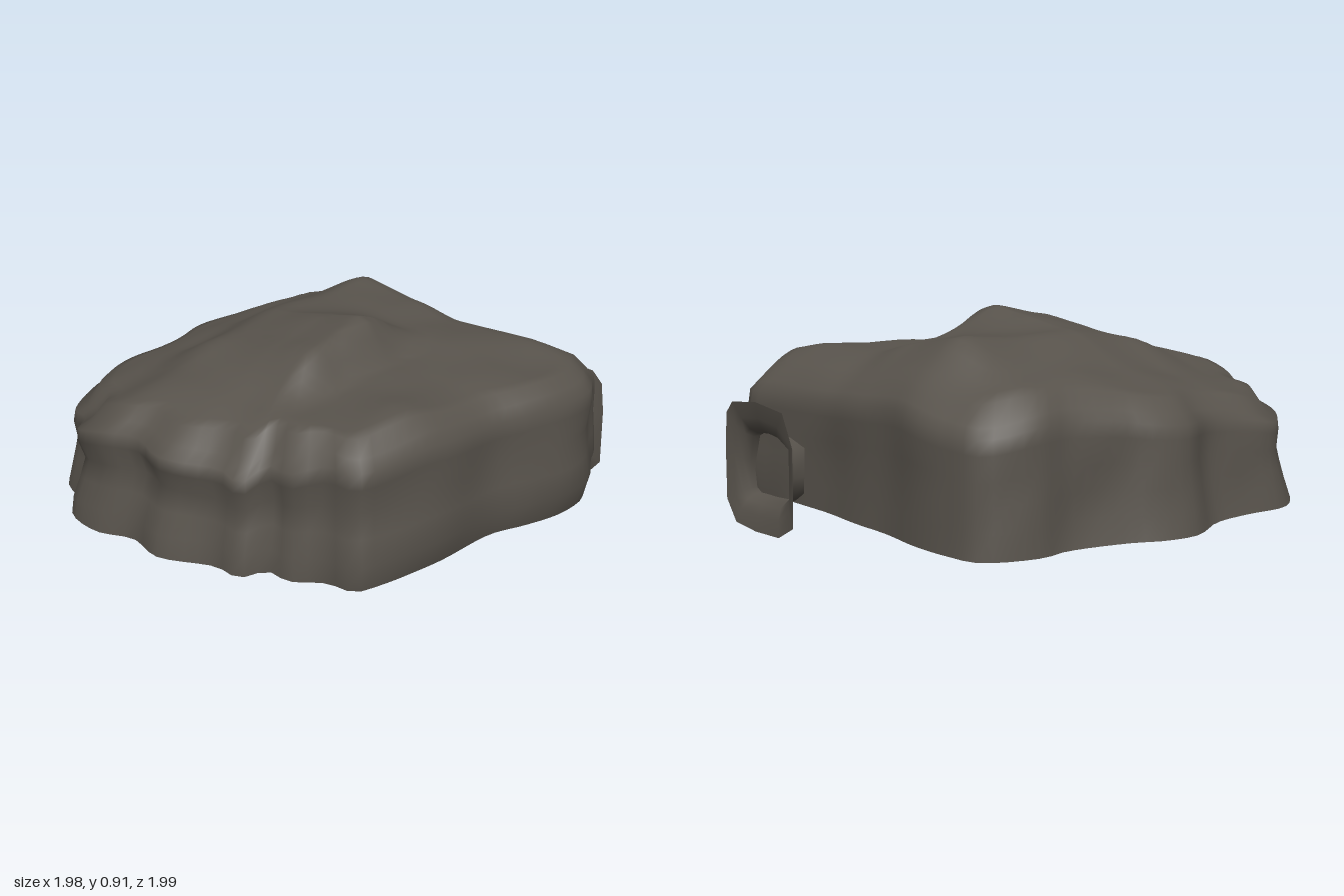
import * as THREE from 'three';

// Outline of the rock seen from above, as [x, z]
const OUTLINE = [
  [0.05, -1], [0.2, -0.96], [0.3, -0.9], [0.55, -0.81], [0.66, -0.81], [0.86, -0.7], [0.89, -0.58],
  [0.9, -0.4], [0.88, -0.2], [0.88, 0], [0.87, 0.2], [0.88, 0.4], [0.89, 0.6], [0.89, 0.8],
  [0.73, 0.89], [0.57, 0.98], [0.46, 0.99], [0.36, 0.98], [0.2, 0.93], [0.05, 0.87], [-0.25, 0.84],
  [-0.4, 0.81], [-0.55, 0.77], [-0.66, 0.72], [-0.68, 0.6], [-0.76, 0.48], [-0.76, 0.37], [-0.86, 0.32],
  [-0.86, 0.2], [-0.96, -0.03], [-0.93, -0.2], [-0.99, -0.36], [-0.96, -0.56], [-0.87, -0.63],
  [-0.8, -0.8], [-0.55, -0.98], [-0.33, -0.95], [-0.15, -0.94],
];

// Heights of the upper surface, one row per z
const GRID_X = [-0.9, -0.6, -0.3, 0, 0.3, 0.6, 0.9];
const GRID_Z = [-0.9, -0.6, -0.3, 0, 0.2, 0.34, 0.6, 0.9];
const HEIGHT = [
  [0.47, 0.53, 0.58, 0.61, 0.63, 0.61, 0.48],
  [0.56, 0.61, 0.66, 0.70, 0.72, 0.72, 0.60],
  [0.64, 0.71, 0.78, 0.84, 0.83, 0.86, 0.64],
  [0.61, 0.72, 0.83, 0.88, 0.81, 0.80, 0.63],
  [0.56, 0.70, 0.85, 0.91, 0.79, 0.75, 0.62],
  [0.52, 0.69, 0.73, 0.75, 0.77, 0.75, 0.62],
  [0.50, 0.69, 0.74, 0.71, 0.74, 0.75, 0.63],
  [0.47, 0.62, 0.69, 0.68, 0.71, 0.71, 0.61],
];

// How far each side bulges from the base up to the rim
const LEVELS = [0, 0.2, 0.4, 0.6, 0.8, 0.92, 1];
const BULGE = {
  right: [1, 1, 1, 1, 1, 0.99, 0.96],
  front: [0.96, 1, 0.99, 0.97, 0.97, 0.96, 0.92],
  left: [1, 0.99, 0.96, 0.94, 0.97, 0.96, 0.9],
  back: [1, 0.98, 0.97, 0.96, 0.95, 0.94, 0.9],
};
const BASE_Y = 0.13;
const COLUMNS = 120;

function locate(list, v) {
  let i = 0;
  while (i < list.length - 2 && v > list[i + 1]) i++;
  const t = THREE.MathUtils.clamp((v - list[i]) / (list[i + 1] - list[i]), 0, 1);
  return [i, (t + t * t * (3 - 2 * t)) / 2];
}

function heightAt(x, z) {
  const [i, u] = locate(GRID_X, x);
  const [k, v] = locate(GRID_Z, z);
  const { lerp } = THREE.MathUtils;
  return lerp(lerp(HEIGHT[k][i], HEIGHT[k][i + 1], u), lerp(HEIGHT[k + 1][i], HEIGHT[k + 1][i + 1], u), v);
}

const rough = (x, y, z) =>
  Math.sin(7 * x + 4 * z + 2) * Math.sin(8 * z - 3 * x + 5 * y) * 0.6 + Math.sin(13 * x + 9 * y) * Math.sin(12 * z + 7 * y) * 0.4;

function buildGeometry(points, faces) {
  const g = new THREE.BufferGeometry();
  g.setAttribute('position', new THREE.Float32BufferAttribute(points, 3));
  g.setIndex(faces);
  g.computeVertexNormals();
  return g;
}

// Joins rings of equal length, listed from the bottom up
function loft(rings, top) {
  const n = rings[0].length;
  const faces = [];
  const points = rings.flat(2);
  for (let i = 0; i < rings.length - 1; i++) {
    for (let j = 0; j < n; j++) {
      const a = i * n + j, b = i * n + (j + 1) % n;
      faces.push(a, a + n, b, b, a + n, b + n);
    }
  }
  if (top) {
    const last = (rings.length - 1) * n;
    for (let j = 0; j < n; j++) faces.push(last + j, rings.length * n, last + (j + 1) % n);
    points.push(...top);
  }
  return buildGeometry(points, faces);
}

function rockRings() {
  const curve = new THREE.CatmullRomCurve3(OUTLINE.map(([x, z]) => new THREE.Vector3(x, 0, z)), true);
  const outline = curve.getSpacedPoints(COLUMNS).slice(0, COLUMNS);
  const rings = [];
  const rimScale = [];
  // Steep sides
  LEVELS.forEach((t, i) => {
    rings.push(outline.map((p, j) => {
      const len = Math.hypot(p.x, p.z), c = p.x / len, s = p.z / len;
      const bulge = c * c * (c > 0 ? BULGE.right : BULGE.left)[i] + s * s * (s > 0 ? BULGE.front : BULGE.back)[i];
      const rim = heightAt(p.x * 0.93, p.z * 0.93) - 0.04;
      const y = BASE_Y + t * (rim - BASE_Y);
      const k = bulge + 0.018 * (rough(p.x, y, p.z) - 0.5) * Math.sin(Math.PI * t);
      rimScale[j] = k;
      return [p.x * k, y, p.z * k];
    }));
  });
  // Upper surface, shrinking toward the middle
  for (let i = 1; i < 18; i++) {
    const f = 1 - i / 18;
    rings.push(outline.map((p, j) => {
      const x = p.x * rimScale[j] * f, z = p.z * rimScale[j] * f;
      return [x, heightAt(x, z) + 0.012 * rough(x, 0, z), z];
    }));
  }
  return rings;
}

// Flared opening on the side: matching outer and inner edges as [z, y]
const FLARE_OUTER = [[0.8, 0.1], [0.79, 0.35], [0.77, 0.48], [0.72, 0.53], [0.53, 0.55], [0.33, 0.53],
  [0.265, 0.4], [0.27, 0.2], [0.28, 0.07], [0.39, 0.01], [0.57, 0], [0.73, 0.01]];
const FLARE_INNER = [[0.71, 0.15], [0.7, 0.27], [0.67, 0.38], [0.63, 0.4], [0.55, 0.41], [0.46, 0.4],
  [0.36, 0.37], [0.365, 0.25], [0.37, 0.18], [0.43, 0.14], [0.57, 0.13], [0.68, 0.13]];

function flareRings() {
  return [[0, 0.985], [0.5, 0.972], [0.85, 0.95], [1, 0.92], [1, 0.84]].map(([f, x]) =>
    FLARE_OUTER.map(([z, y], i) => [x, y + (FLARE_INNER[i][1] - y) * f, z + (FLARE_INNER[i][0] - z) * f]));
}

export function createModel() {
  const stone = new THREE.MeshStandardMaterial({ color: 0x58534c });
  stone.name = 'stone';
  stone.side = THREE.DoubleSide;
  const model = new THREE.Group();
  model.name = 'rock';
  const add = (name, geometry) => {
    const mesh = new THREE.Mesh(geometry, stone);
    mesh.name = name;
    model.add(mesh);
  };

  const rings = rockRings();
  add('boulder', loft(rings, [0, heightAt(0, 0), 0]));

  // Flat underside
  const basePoints = [0, BASE_Y, 0, ...rings[0].flat()];
  const baseFaces = [];
  for (let j = 0; j < COLUMNS; j++) baseFaces.push(0, 1 + j, 1 + (j + 1) % COLUMNS);
  add('underside', buildGeometry(basePoints, baseFaces));

  add('sideOpening', loft(flareRings()));
  return model;
}
